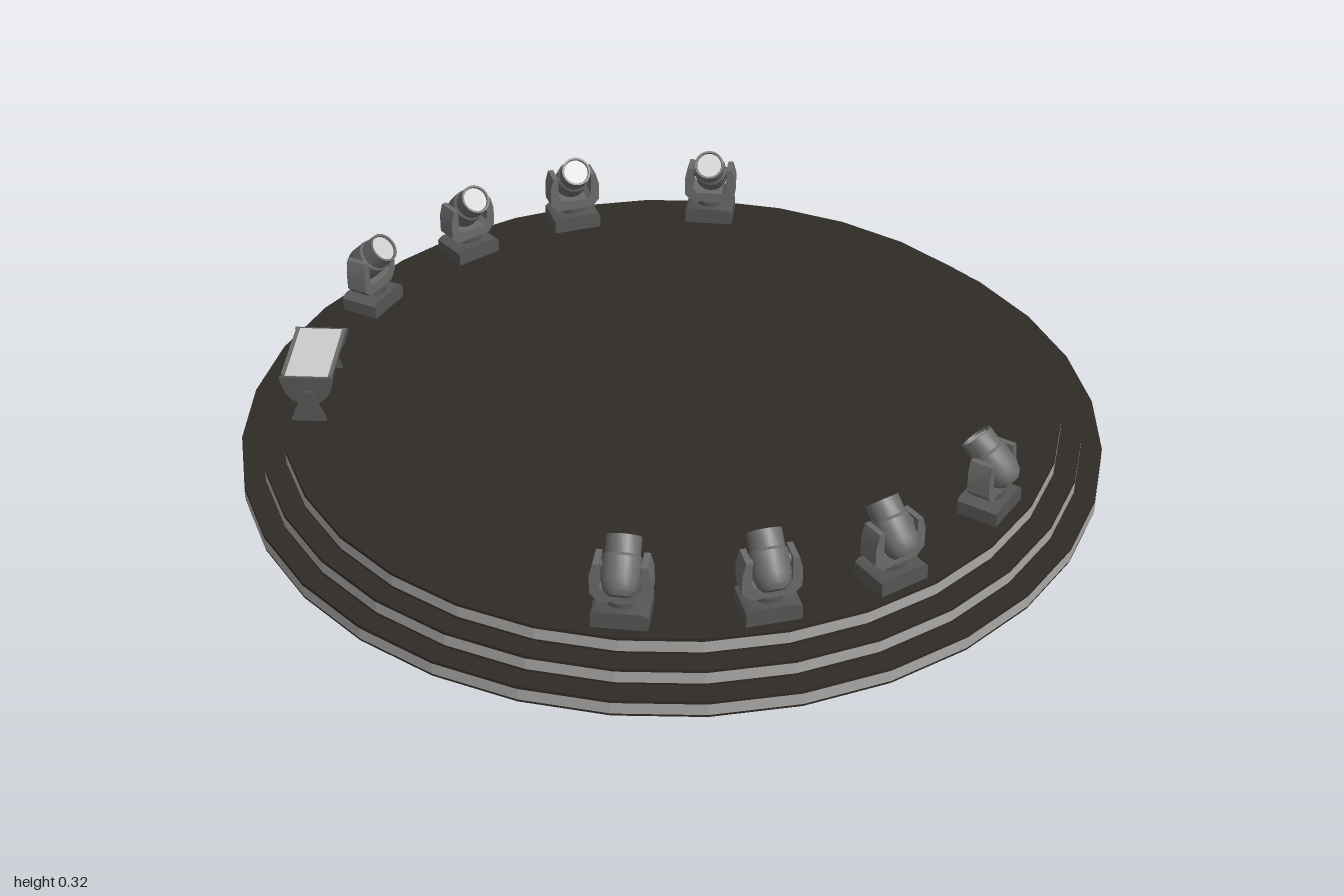
import * as THREE from 'three';
import { toCreasedNormals } from 'three/addons/utils/BufferGeometryUtils.js';

const mat = (color, extra = {}) => new THREE.MeshStandardMaterial({ color, ...extra });
const deck = mat(0x2f2b26, { flatShading: true });
const trim = mat(0xaaa6a6, { flatShading: true });
const body = mat(0x6a6a6a);
const dark = mat(0x555555);
const lens = mat(0xcccccc);

function add(parent, name, geometry, material, x = 0, y = 0, z = 0) {
  const mesh = new THREE.Mesh(geometry, material);
  mesh.name = name;
  mesh.position.set(x, y, z);
  parent.add(mesh);
  return mesh;
}

const points = (list) => list.map(([x, y]) => new THREE.Vector2(x, y));

// Extrusion centred on its depth
function slab(shape, depth) {
  const g = new THREE.ExtrudeGeometry(shape, { depth, bevelEnabled: false, curveSegments: 8 });
  return toCreasedNormals(g.translate(0, 0, -depth / 2), 0.6);
}

// Moving spotlight: foot, forked yoke and a head tilted forward
function spotlight() {
  const g = new THREE.Group();
  g.name = 'spotlight';
  const foot = new THREE.Shape(points([
    [-0.06, 0], [0.06, 0], [0.06, 0.032], [0.048, 0.04], [-0.048, 0.04], [-0.06, 0.032],
  ]));
  add(g, 'foot', slab(foot, 0.095), dark);
  add(g, 'turntable', new THREE.CylinderGeometry(0.033, 0.033, 0.014, 16), dark, 0, 0.045, 0);

  const fork = new THREE.Shape(points([
    [-0.045, 0.05], [0.045, 0.05], [0.064, 0.07], [0.064, 0.115], [0.056, 0.145], [0.043, 0.145],
    [0.043, 0.088], [0.032, 0.076], [-0.032, 0.076], [-0.043, 0.088], [-0.043, 0.145],
    [-0.056, 0.145], [-0.064, 0.115], [-0.064, 0.07],
  ]));
  add(g, 'yoke', slab(fork, 0.052), body);

  const head = new THREE.Group();
  head.name = 'head';
  head.position.y = 0.126;
  head.rotation.x = Math.PI / 4;
  const profile = points([
    [0, -0.062], [0.024, -0.062], [0.034, -0.052], [0.041, -0.03], [0.041, 0.018],
    [0.037, 0.024], [0.037, 0.062], [0.032, 0.062], [0.03, 0.054],
  ]);
  add(head, 'headShell', toCreasedNormals(new THREE.LatheGeometry(profile, 18), 0.5),
    mat(0x6a6a6a, { side: THREE.DoubleSide }));
  add(head, 'lens', new THREE.CylinderGeometry(0.031, 0.031, 0.004, 18), lens, 0, 0.055, 0);
  const axle = add(g, 'tiltAxle', new THREE.CylinderGeometry(0.014, 0.014, 0.1, 12), dark, 0, 0.126, 0);
  axle.rotation.z = Math.PI / 2;
  g.add(head);
  return g;
}

// Trough-shaped floodlight lying along z on two end brackets
function floodlight() {
  const g = new THREE.Group();
  g.name = 'floodlight';
  const section = (w, h) => {
    const s = new THREE.Shape();
    s.moveTo(-w, 0.112);
    s.lineTo(-w * 0.95, 0.095);
    s.bezierCurveTo(-w * 0.75, 0.115 - h, w * 0.75, 0.115 - h, w * 0.95, 0.095);
    s.lineTo(w, 0.112);
    return s;
  };
  add(g, 'trough', slab(section(0.055, 0.085), 0.2), body);
  for (const s of [-1, 1]) {
    add(g, 'endPlate', slab(section(0.062, 0.095), 0.007), dark, 0, 0.001, s * 0.1035);
    const leg = new THREE.Shape(points([[-0.04, 0], [0.04, 0], [0.04, 0.006], [0.01, 0.08], [-0.01, 0.08], [-0.04, 0.006]]));
    add(g, 'bracket', slab(leg, 0.005), dark, 0, 0, s * 0.11);
    const knob = add(g, 'knob', new THREE.CylinderGeometry(0.01, 0.01, 0.006, 12), dark, 0, 0.07, s * 0.114);
    knob.rotation.x = Math.PI / 2;
    add(g, 'sideRim', new THREE.BoxGeometry(0.008, 0.008, 0.2), body, s * 0.054, 0.114, 0);
  }
  add(g, 'glass', new THREE.BoxGeometry(0.1, 0.003, 0.2), lens, 0, 0.113, 0);
  // Cooling ribs along the trough sides
  for (const s of [-1, 1]) for (let i = 0; i < 3; i++) {
    add(g, 'rib', new THREE.BoxGeometry(0.005, 0.004, 0.2), dark, s * (0.053 - i * 0.004), 0.1 - i * 0.011, 0);
  }
  return g;
}

export function createModel() {
  const model = new THREE.Group();
  model.name = 'stage';

  // Three round steps, each with a pale edge band
  [1, 0.95, 0.9].forEach((r, i) => {
    const y = i * 0.04 + 0.02;
    add(model, 'step', new THREE.CylinderGeometry(r, r, 0.04, 32), deck, 0, y, 0);
    add(model, 'edgeBand', new THREE.CylinderGeometry(r + 0.001, r + 0.001, 0.028, 32, 1, true), trim, 0, y, 0);
  });

  // Spotlights along the rim, all aimed at the centre
  const spots = [
    [0, -0.83], [-0.35, -0.75], [-0.59, -0.57], [-0.775, -0.295],
    [0, 0.825], [0.295, 0.77], [0.54, 0.63], [0.74, 0.36],
  ];
  for (const [x, z] of spots) {
    const s = spotlight();
    s.position.set(x, 0.12, z);
    s.rotation.y = Math.atan2(-x, -z);
    model.add(s);
  }

  const flood = floodlight();
  flood.position.set(-0.815, 0.12, 0.11);
  flood.rotation.y = 0.07;
  model.add(flood);
  return model;
}
